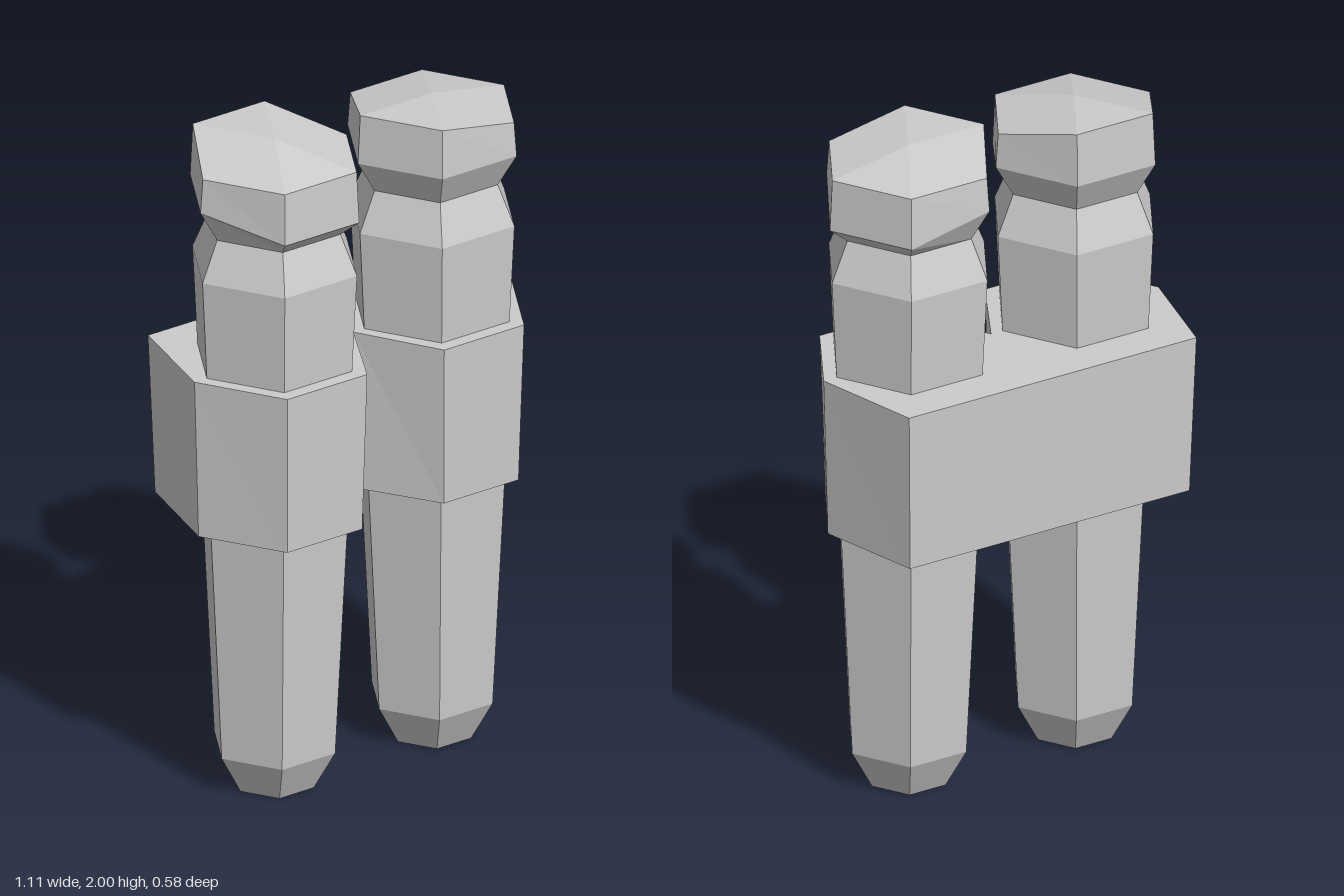
import * as THREE from 'three';

const material = new THREE.MeshStandardMaterial({ color: 0xcccccc, flatShading: true });

// Skin a stack of rings (each a list of Vector3, from +x towards +z) and close both ends
function loft(name, rings, topCentre, bottomCentre) {
  const pos = [];
  const tri = (...pts) => pts.forEach((p) => pos.push(p.x, p.y, p.z));
  const n = rings[0].length;
  const top = rings[rings.length - 1];
  for (let i = 0; i < n; i++) {
    const j = (i + 1) % n;
    for (let r = 0; r < rings.length - 1; r++) {
      const lo = rings[r], hi = rings[r + 1];
      tri(lo[i], hi[i], hi[j]);
      tri(lo[i], hi[j], lo[j]);
    }
    tri(topCentre, top[j], top[i]);
    tri(bottomCentre, rings[0][i], rings[0][j]);
  }
  const geometry = new THREE.BufferGeometry();
  geometry.setAttribute('position', new THREE.Float32BufferAttribute(pos, 3));
  geometry.computeVertexNormals();
  const mesh = new THREE.Mesh(geometry, material);
  mesh.name = name;
  return mesh;
}

// Six-sided ring; the height may differ for every corner
function hexRing(radius, height) {
  return Array.from({ length: 6 }, (_, k) => {
    const a = (k * Math.PI) / 3;
    const y = typeof height === 'function' ? height(k) : height;
    return new THREE.Vector3(radius * Math.cos(a), y, radius * Math.sin(a));
  });
}

// One post: tapered foot and shaft, shoulder, neck and a slanted head
function makePost(name, x, highCorner, highY) {
  const post = new THREE.Group();
  post.name = name;
  post.position.set(x, 0, 0.04);
  const v = (y) => new THREE.Vector3(0, y, 0);
  const inPair = (k, start) => k === start % 6 || k === (start + 1) % 6;

  post.add(loft('shaft', [
    hexRing(0.12, 0), hexRing(0.186, 0.12), hexRing(0.225, 0.86),
  ], v(0.86), v(0)));

  post.add(loft('shoulder', [
    hexRing(0.237, 1.3), hexRing(0.253, 1.62), hexRing(0.202, 1.74),
  ], v(1.74), v(1.3)));

  // two neighbouring top corners are raised, the opposite lower pair dips
  post.add(loft('head', [
    hexRing(0.202, 1.74),
    hexRing(0.26, (k) => (inPair(k, highCorner + 3) ? 1.787 : 1.84)),
    hexRing(0.252, (k) => (inPair(k, highCorner) ? highY : 1.943)),
  ], v(highY), v(1.74)));
  return post;
}

// Band outline from its right half, mirrored, with a notch between the posts
function bandRing(y, half) {
  const p = (x, z) => new THREE.Vector3(x, y, z);
  const [side, outer, inner, back] = half;
  return [
    ...[side, outer, inner].map(([x, z]) => p(x, z)),
    p(0, 0.04),
    ...[inner, outer, side, back].map(([x, z]) => p(-x, z)),
    p(...back),
  ];
}

export function createModel() {
  const model = new THREE.Group();
  model.name = 'twinPosts';
  model.add(makePost('leftPost', 0.276, 2, 1.988));
  model.add(makePost('rightPost', -0.276, 4, 2));
  model.add(loft('band', [
    bandRing(0.835, [[0.543, 0.04], [0.405, 0.275], [0.143, 0.275], [0.465, -0.272]]),
    bandRing(1.32, [[0.557, 0.04], [0.415, 0.288], [0.135, 0.288], [0.478, -0.288]]),
  ], new THREE.Vector3(0, 1.32, -0.12), new THREE.Vector3(0, 0.835, -0.12)));
  return model;
}
